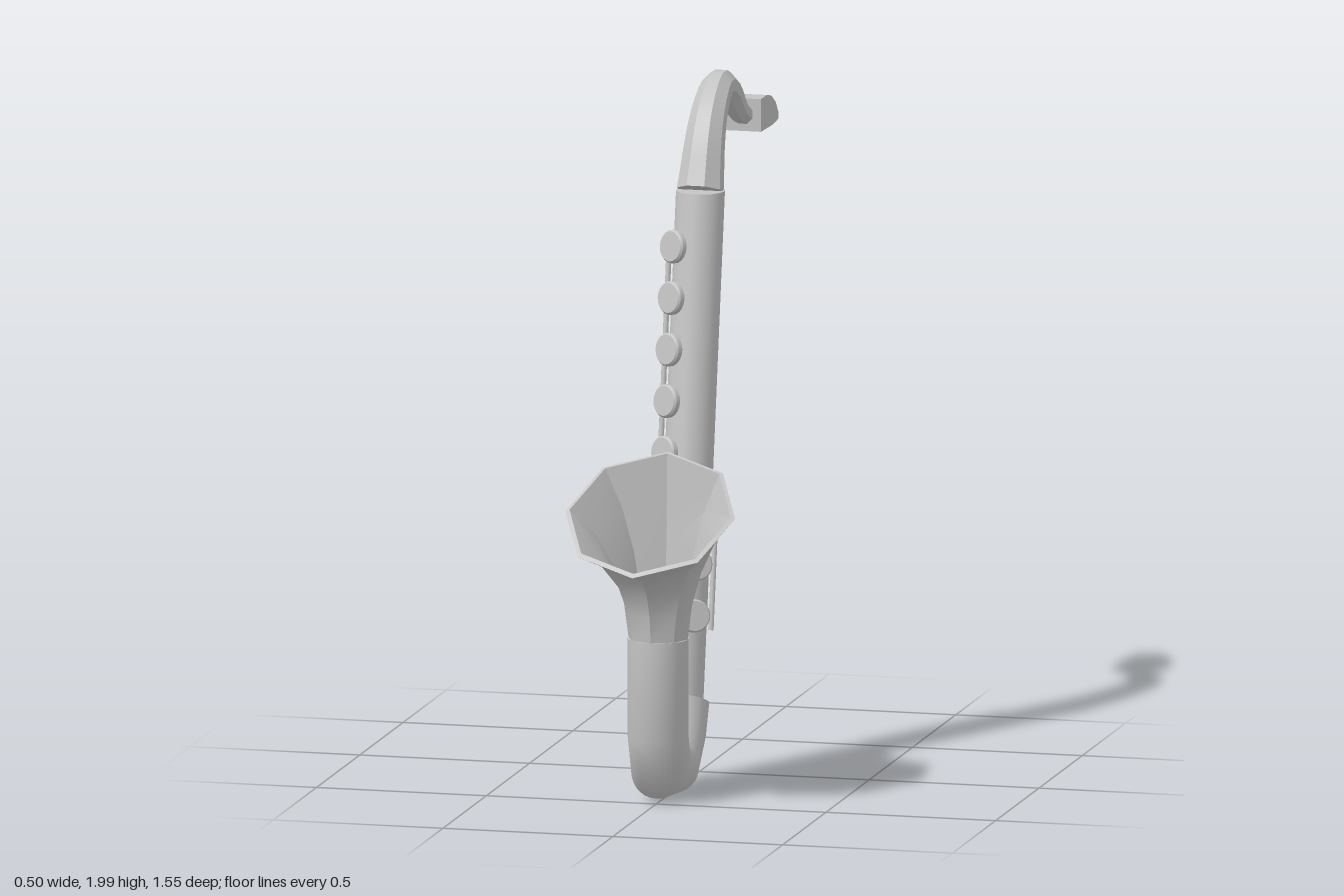
import * as THREE from 'three';
import { toCreasedNormals } from 'three/addons/utils/BufferGeometryUtils.js';

const metal = new THREE.MeshStandardMaterial({ color: 0xc4c4c4 });
metal.name = 'grey metal';

// Skin over rings given as [zFront, yFront, zBack, yBack, halfWidth], capped on request.
function loft(rings, sides, { turn = 0, grow = 1, crease = 0.6, start = true, end = true } = {}) {
  const pos = [], index = [];
  for (const [zf, yf, zb, yb, w] of rings) {
    for (let i = 0; i < sides; i++) {
      const a = turn + (i / sides) * Math.PI * 2;
      const c = (Math.cos(a) * grow) / 2, s = Math.sin(a) * grow;
      pos.push(s * w, (yf + yb) / 2 + c * (yf - yb), (zf + zb) / 2 + c * (zf - zb));
    }
  }
  for (let j = 0; j < rings.length - 1; j++) {
    for (let i = 0; i < sides; i++) {
      const k = (i + 1) % sides, a = j * sides, b = a + sides;
      index.push(a + i, a + k, b + k, a + i, b + k, b + i);
    }
  }
  const last = (rings.length - 1) * sides;
  for (let i = 1; i < sides - 1; i++) {
    if (start) index.push(0, i + 1, i);
    if (end) index.push(last, last + i, last + i + 1);
  }
  const geo = new THREE.BufferGeometry();
  geo.setAttribute('position', new THREE.Float32BufferAttribute(pos, 3));
  geo.setIndex(index);
  return toCreasedNormals(geo, crease);
}

export function createModel() {
  const model = new THREE.Group();
  const add = (name, geo, parent = model) => {
    const mesh = new THREE.Mesh(geo, metal);
    mesh.name = name;
    parent.add(mesh);
    return mesh;
  };

  // Leaning main pipe
  const slope = 0.173, tilt = -Math.atan(slope);
  const pipeZ = (y) => 0.235 - (y - 0.255) * slope;
  const pipeRing = (y) => [pipeZ(y) + 0.069, y, pipeZ(y) - 0.069, y, 0.07];
  add('mainPipe', loft([pipeRing(0.2), pipeRing(1.69)], 32));

  // U-shaped bow, from the pipe collar round to the foot of the bell
  add('bow', loft([
    [0.156, 0.22, 0.315, 0.29, 0.087],
    [0.21, 0.105, 0.335, 0.235, 0.087],
    [0.325, 0.002, 0.372, 0.178, 0.087],
    [0.5, 0.018, 0.384, 0.182, 0.087],
    [0.563, 0.19, 0.389, 0.2, 0.087],
    [0.563, 0.48, 0.389, 0.48, 0.087],
  ], 32, { crease: 1.35 }));

  // Eight-sided flared bell with a slanted rim, outside then inside
  const bell = [
    [0.563, 0.478, 0.389, 0.478, 0.087],
    [0.574, 0.555, 0.383, 0.6, 0.1],
    [0.606, 0.625, 0.376, 0.73, 0.13],
    [0.672, 0.682, 0.368, 0.87, 0.18],
    [0.775, 0.71, 0.36, 1.0, 0.25],
  ];
  const inner = bell.map(([zf, yf, zb, yb, w]) => {
    const dz = (zf - zb) * 0.025, dy = (yf - yb) * 0.025;
    return [zf - dz, yf - dy + 0.004, zb + dz, yb + dy + 0.004, w * 0.95];
  }).reverse();
  add('bell', loft([...bell, ...inner], 8, { crease: 0.62, start: false }));

  // Faceted, tapering neck
  const neckCurve = new THREE.CatmullRomCurve3([
    [1.69, -0.013], [1.82, -0.064], [1.897, -0.118], [1.955, -0.215],
    [1.925, -0.325], [1.847, -0.435], [1.815, -0.515],
  ].map(([y, z]) => new THREE.Vector3(0, y, z)));
  const neck = [];
  for (let i = 0; i <= 18; i++) {
    const t = i / 18, p = neckCurve.getPointAt(t), d = neckCurve.getTangentAt(t);
    const r = 0.066 - 0.038 * Math.pow(t, 0.85);
    neck.push([p.z + d.y * r, p.y - d.z * r, p.z - d.y * r, p.y + d.z * r, r]);
  }
  add('neck', loft(neck, 8, { turn: Math.PI / 8, grow: 1.04 }));

  // Wedge mouthpiece
  add('mouthpiece', loft([
    [-0.505, 1.864, -0.505, 1.769, 0.053],
    [-0.57, 1.864, -0.57, 1.767, 0.053],
    [-0.63, 1.851, -0.63, 1.764, 0.052],
    [-0.7, 1.82, -0.7, 1.761, 0.046],
    [-0.775, 1.773, -0.775, 1.757, 0.036],
  ], 4, { turn: Math.PI / 4, grow: Math.SQRT2 }));

  // Key cups on short stems, radiating from the pipe
  const cup = [[0.018, 0.06], [0.018, 0.083], [0.042, 0.083], [0.048, 0.089],
    [0.048, 0.103], [0.043, 0.109], [0, 0.109]].map(([r, h]) => new THREE.Vector2(r, h));
  const keyGeo = toCreasedNormals(new THREE.LatheGeometry(cup, 20), 0.6).rotateX(Math.PI / 2);

  // One stack of keys with its side rod; side is +1 for the left, -1 for the right
  function keyStack(name, side, heights, rodTop, rodBottom) {
    const stack = new THREE.Group();
    stack.name = name;
    for (const y of heights) {
      const key = add('key', keyGeo, stack);
      key.position.set(0, y - 0.015, pipeZ(y - 0.015));
      key.rotation.set(tilt, side * 0.58, 0);
    }
    const mid = (rodTop + rodBottom) / 2;
    const length = (rodTop - rodBottom) / Math.cos(tilt);
    const rod = add('keyRod', new THREE.CylinderGeometry(0.008, 0.008, length, 8), stack);
    rod.position.set(side * 0.085, mid, pipeZ(mid));
    rod.rotation.x = tilt;
    // Posts holding the rod to the pipe
    for (const y of [rodTop - 0.04, rodBottom + 0.04]) {
      const post = add('rodPost', new THREE.CylinderGeometry(0.006, 0.006, 0.03, 8), stack);
      post.position.set(side * 0.072, y, pipeZ(y));
      post.rotation.z = Math.PI / 2;
    }
    model.add(stack);
  }
  keyStack('upperKeys', -1, [1.545, 1.4, 1.255, 1.11, 0.965], 1.54, 0.93);
  keyStack('lowerKeys', 1, [0.8, 0.655, 0.51], 0.79, 0.455);

  return model;
}
